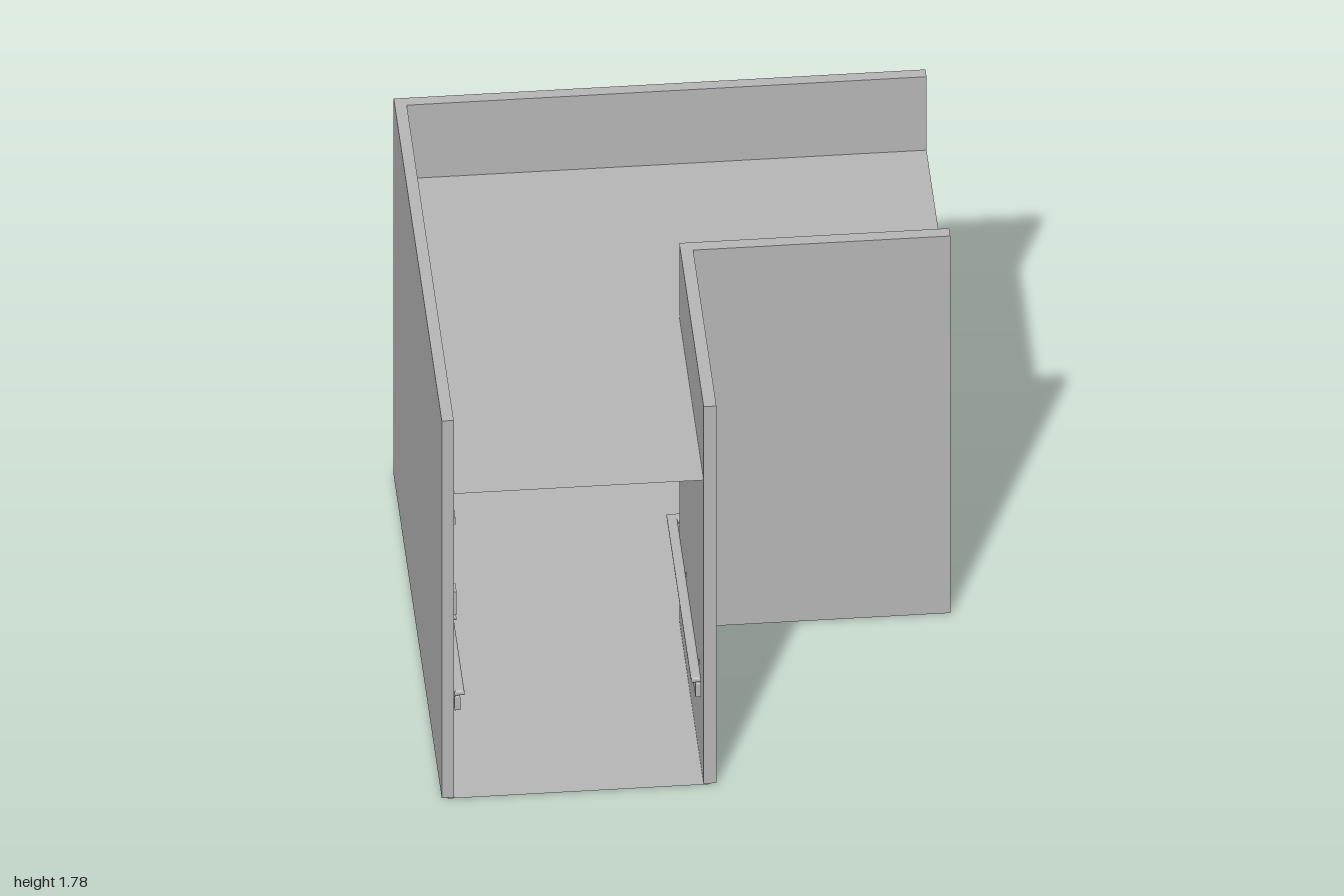
import * as THREE from 'three';

const grey = new THREE.MeshStandardMaterial({ color: 0xb8b8b8, side: THREE.DoubleSide });
grey.name = 'plain grey';

// L-shaped plan between two offset lines a and b, both arms ending at `end`
function bendShape(a, b, end) {
  const pts = [[a, end], [b, end], [b, b], [end, b], [end, a], [a, a]];
  return new THREE.Shape(pts.map(([x, z]) => new THREE.Vector2(x, -z)));
}

export function createModel() {
  const group = new THREE.Group();

  function add(name, geometry, x = 0, y = 0, z = 0) {
    const mesh = new THREE.Mesh(geometry, grey);
    mesh.name = name;
    mesh.position.set(x, y, z);
    group.add(mesh);
    return mesh;
  }

  // Solid that follows the corridor bend
  function bend(name, a, b, end, y0, y1, bevel = 0) {
    const geometry = new THREE.ExtrudeGeometry(bendShape(a + bevel, b - bevel, end - bevel), {
      depth: y1 - y0 - 2 * bevel, bevelEnabled: bevel > 0,
      bevelSize: bevel, bevelThickness: bevel, bevelSegments: 3,
    });
    geometry.rotateX(-Math.PI / 2);
    add(name, geometry, 0, y0 + bevel, 0);
  }

  function sheet(name, a, b, y) {
    add(name, new THREE.ShapeGeometry(bendShape(a, b, 1)).rotateX(-Math.PI / 2), 0, y, 0);
  }

  // Walls, floor and ceiling
  bend('outerWall', -1, -0.955, 1, 0.004, 1.78);
  bend('innerWall', -0.015, 0.033, 1, 0.004, 1.78);
  sheet('floor', -0.978, 0.01, 0);
  sheet('ceiling', -0.956, -0.014, 1.434);

  // Handrails: a bumper board, a rounded grip and small brackets on each side
  for (const [wall, dir] of [[-0.955, 1], [-0.015, -1]]) {
    const band = (name, p, q, y0, y1, bevel) => {
      const [a, b] = [wall + dir * p, wall + dir * q].sort((m, n) => m - n);
      bend(name, a, b, 0.965, y0, y1, bevel);
    };
    band('bumperBoard', 0.006, 0.028, 0.385, 0.45, 0.004);
    band('handrailGrip', 0.006, 0.044, 0.453, 0.476, 0.008);
    for (const t of [-0.79, -0.25, 0.29, 0.83]) {
      if (dir < 0 && t < 0) continue;
      const w = wall + dir * 0.018;
      add('railBracket', new THREE.BoxGeometry(0.036, 0.016, 0.012), w, 0.45, t);
      add('railBracket', new THREE.BoxGeometry(0.012, 0.016, 0.036), t, 0.45, w);
    }
  }

  // High flat strip along the right-hand wall
  add('wallStrip', new THREE.BoxGeometry(0.008, 0.033, 1.96), -0.952, 1.297, 0.01);

  // Hand dispenser with drip tray
  add('dispenserBody', new THREE.BoxGeometry(0.045, 0.11, 0.05), -0.933, 0.63, 0.6);
  add('dispenserBack', new THREE.BoxGeometry(0.006, 0.13, 0.045), -0.952, 0.615, 0.6);
  add('dripTray', new THREE.BoxGeometry(0.045, 0.005, 0.05), -0.933, 0.555, 0.6);

  // Ceiling dome at the corner
  add('domeBase', new THREE.CylinderGeometry(0.038, 0.038, 0.012, 32), -0.78, 1.427, -0.78);
  add('dome', new THREE.SphereGeometry(0.031, 32, 12, 0, Math.PI * 2, Math.PI / 2, Math.PI / 2),
    -0.78, 1.421, -0.78);

  // Ceiling fittings, one set in each arm
  for (const [along, across] of [['x', 'z'], ['z', 'x']]) {
    const place = (name, geometry, s, t, y) => {
      add(name, geometry, 0, y, 0).position.set(along === 'x' ? s : t, y, across === 'z' ? t : s);
    };
    place('lightPanel', new THREE.BoxGeometry(0.3, 0.005, 0.3), 0.73, -0.48, 1.4315);
    const disc = along === 'x' ? -0.18 : -0.49;
    place('speakerRim', new THREE.CylinderGeometry(0.055, 0.05, 0.007, 32), 0.3, disc, 1.429);
    place('speakerGrille', new THREE.CylinderGeometry(0.03, 0.024, 0.008, 32), 0.3, disc, 1.422);
    const head = along === 'x' ? -0.28 : -0.63;
    place('sprinklerPlate', new THREE.CylinderGeometry(0.012, 0.012, 0.004, 16), 0.5, head, 1.431);
    place('sprinklerStem', new THREE.CylinderGeometry(0.003, 0.003, 0.018, 8), 0.5, head, 1.421);
    place('sprinklerDeflector', new THREE.CylinderGeometry(0.007, 0.007, 0.002, 16), 0.5, head, 1.412);
  }

  return group;
}
